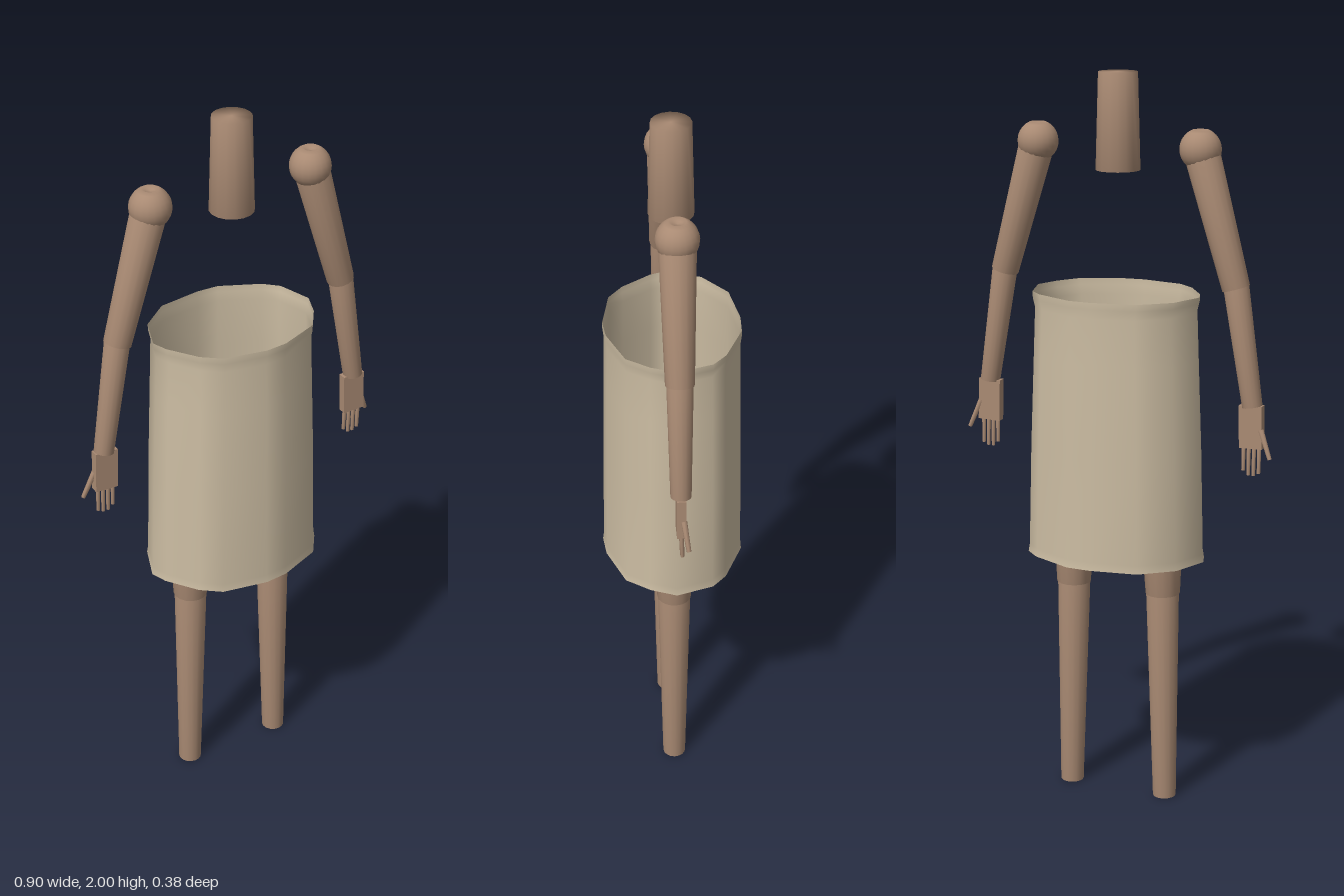
import * as THREE from 'three';

const skin = new THREE.MeshStandardMaterial({ color: 0xa98a73 });
skin.name = 'warm brown';
const cloth = new THREE.MeshStandardMaterial({ color: 0xcbbca2, side: THREE.DoubleSide });
cloth.name = 'beige cloth';

// Capped tapered limb from point a to point b, softly shaded at its ends
function limb(name, a, b, ra, rb, sides = 16) {
  const from = new THREE.Vector3(...a), to = new THREE.Vector3(...b);
  const dir = to.clone().sub(from), h = dir.length();
  const profile = [[0, 0], [ra, 0], [rb, h], [0, h]].map(p => new THREE.Vector2(...p));
  const mesh = new THREE.Mesh(new THREE.LatheGeometry(profile, sides), skin);
  mesh.position.copy(from);
  mesh.quaternion.setFromUnitVectors(new THREE.Vector3(0, 1, 0), dir.normalize());
  mesh.name = name;
  return mesh;
}

// Shoulder ball with a shallow dimple on top
function shoulder(x) {
  const r = 0.055, pts = [];
  for (let i = 0; i <= 12; i++) {
    const t = -Math.PI / 2 + (i / 12) * 2.73;
    pts.push(new THREE.Vector2(Math.max(0, r * Math.cos(t)), r * Math.sin(t)));
  }
  pts.push(new THREE.Vector2(0.012, 0.044), new THREE.Vector2(0, 0.042));
  const mesh = new THREE.Mesh(new THREE.LatheGeometry(pts, 20), skin);
  mesh.position.set(x, 1.81, 0);
  mesh.name = 'shoulder';
  return mesh;
}

function arm(s) {
  const g = new THREE.Group();
  g.name = s > 0 ? 'leftArm' : 'rightArm';
  g.add(shoulder(s * 0.232));
  g.add(limb('upperArm', [s * 0.335, 1.455, 0], [s * 0.236, 1.8, 0], 0.037, 0.047));
  g.add(limb('forearm', [s * 0.385, 1.145, 0], [s * 0.335, 1.462, 0], 0.027, 0.034));
  // Palm, four fingers and an outward thumb
  const palm = new THREE.Mesh(new THREE.BoxGeometry(0.064, 0.115, 0.024), skin);
  palm.position.set(s * 0.384, 1.09, 0);
  palm.rotation.z = s * 0.03;
  palm.name = 'palm';
  g.add(palm);
  [0.97, 0.958, 0.958, 0.965].forEach((tip, i) => {
    const x = s * (0.363 + i * 0.0145);
    g.add(limb('finger', [x, tip, -0.003], [x, 1.045, 0], 0.005, 0.006, 8));
  });
  g.add(limb('thumb', [s * 0.442, 1.01, -0.017], [s * 0.412, 1.085, -0.006], 0.006, 0.008, 8));
  return g;
}

function leg(s) {
  const g = new THREE.Group();
  g.name = s > 0 ? 'leftLeg' : 'rightLeg';
  g.add(limb('shin', [s * 0.142, 0, 0], [s * 0.133, 0.605, 0], 0.032, 0.045));
  g.add(limb('thigh', [s * 0.134, 0.595, 0], [s * 0.125, 1.0, 0], 0.047, 0.07));
  return g;
}

// Open cloth tube lofted through scaled copies of one uneven outline
function skirt() {
  const outline = [
    [0, 0.19], [0.065, 0.183], [0.183, 0.135], [0.228, 0.07], [0.255, 0],
    [0.224, -0.1], [0.183, -0.138], [0.067, -0.19], [0, -0.192], [-0.13, -0.17],
    [-0.214, -0.1], [-0.252, 0], [-0.236, 0.045], [-0.178, 0.127], [-0.125, 0.168]];
  const levels = [
    [0.698, 1, 1], [0.72, 0.985, 0.985], [1.0, 0.955, 0.965], [1.25, 0.915, 0.94],
    [1.38, 0.895, 0.925], [1.405, 0.92, 0.94], [1.423, 0.925, 0.94]];
  const n = outline.length, pos = [], index = [];
  levels.forEach(([y, sx, sz], j) => {
    outline.forEach(([x, z], i) => {
      pos.push(x * sx, y, z * sz);
      if (j === levels.length - 1) return;
      const k = (i + 1) % n, a = j * n + i, b = j * n + k;
      index.push(a, b, b + n, a, b + n, a + n);
    });
  });
  const geo = new THREE.BufferGeometry();
  geo.setAttribute('position', new THREE.Float32BufferAttribute(pos, 3));
  geo.setIndex(index);
  geo.computeVertexNormals();
  const mesh = new THREE.Mesh(geo, cloth);
  mesh.name = 'skirt';
  return mesh;
}

export function createModel() {
  const model = new THREE.Group();
  model.name = 'figure';
  model.add(limb('neck', [0, 1.745, 0], [0, 2, 0], 0.059, 0.052));
  model.add(skirt());
  for (const s of [1, -1]) model.add(arm(s), leg(s));
  return model;
}
